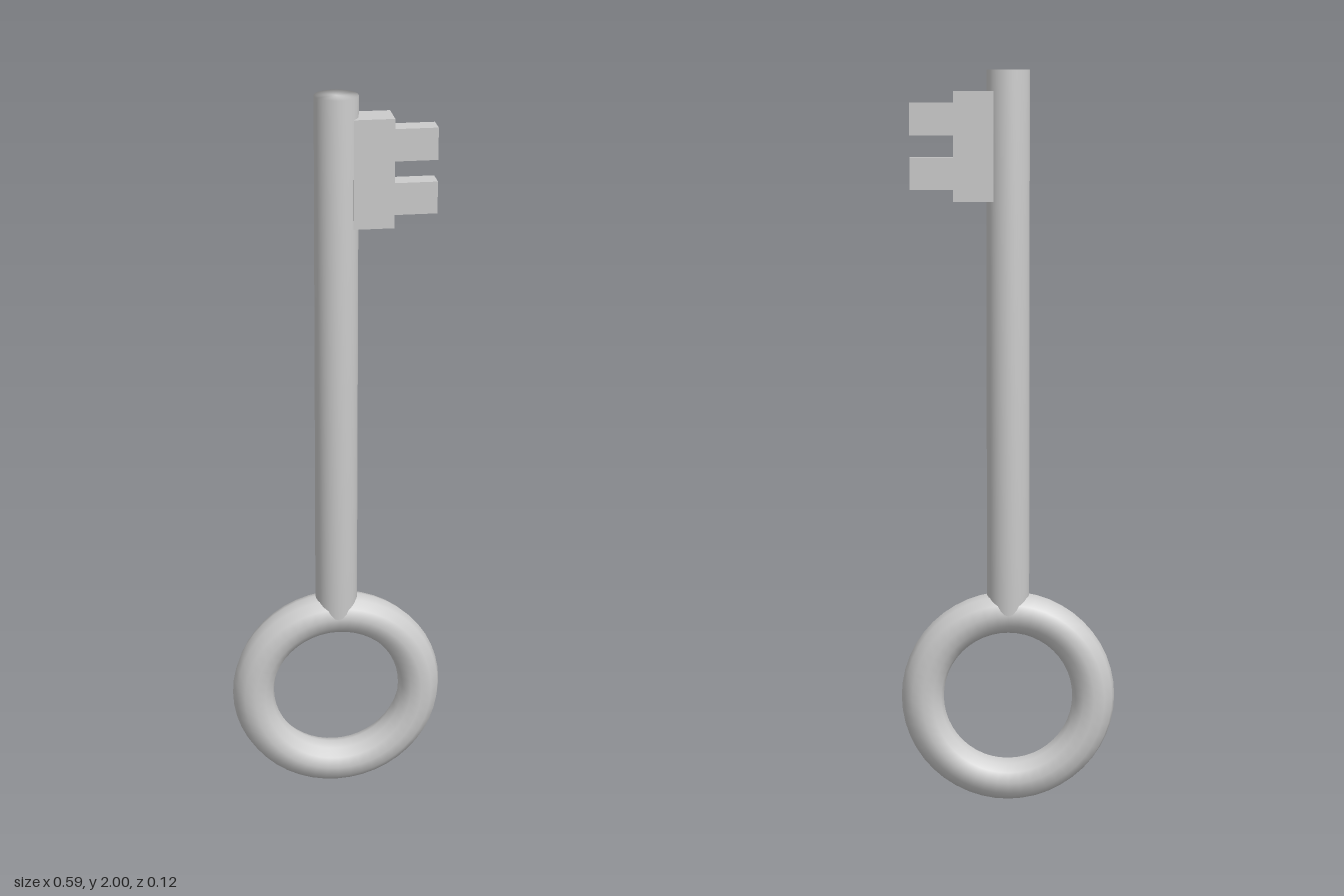
import * as THREE from 'three';

const material = new THREE.MeshStandardMaterial({ color: 0xcccccc });

export function createModel() {
  const key = new THREE.Group();
  key.name = 'key';

  const add = (name, geometry, x, y, parent = key) => {
    const mesh = new THREE.Mesh(geometry, material);
    mesh.name = name;
    mesh.position.set(x, y, 0);
    parent.add(mesh);
  };

  const rodRadius = 0.058;
  const ringRadius = 0.235;
  const ringY = ringRadius + rodRadius;

  // Ring handle
  add('bow', new THREE.TorusGeometry(ringRadius, rodRadius, 12, 48), 0, ringY);

  // Round shaft rising from the middle of the ring's tube, softly shaded across its ends
  const length = 2 - ringY - ringRadius;
  const profile = [[0, 0], [rodRadius, 0], [rodRadius, length], [0, length]]
    .map(([x, y]) => new THREE.Vector2(x, y));
  add('shaft', new THREE.LatheGeometry(profile, 32), 0, ringY + ringRadius);

  // Bit: a plate against the shaft with two teeth
  const bit = new THREE.Group();
  bit.name = 'bit';
  key.add(bit);
  add('bitPlate', new THREE.BoxGeometry(0.107, 0.292, 0.088), 0.0935, 1.798, bit);
  [['upperTooth', 1.87], ['lowerTooth', 1.726]].forEach(([name, y]) =>
    add(name, new THREE.BoxGeometry(0.117, 0.086, 0.058), 0.2045, y, bit));

  return key;
}
